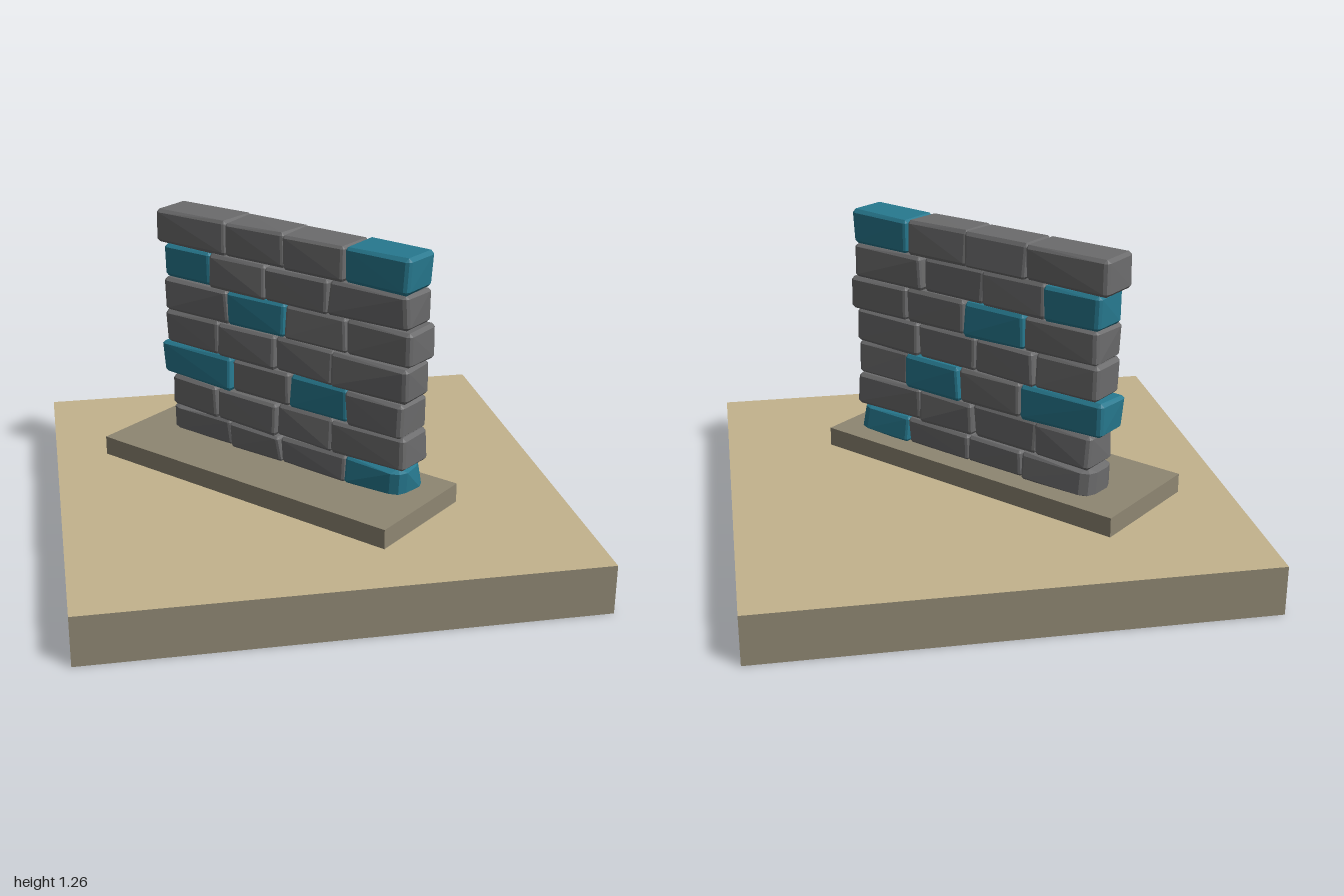
import * as THREE from 'three';
import { ConvexGeometry } from 'three/addons/geometries/ConvexGeometry.js';

const mat = (name, color) => new THREE.MeshStandardMaterial({ name, color });

// Small seeded generator for the uneven stone shapes
let seed = 7;
const jitter = (amount) => {
  seed = (seed * 16807) % 2147483647;
  return (seed / 2147483647 - 0.5) * 2 * amount;
};

// Roughly hewn block: a box with chamfered, slightly uneven corners.
// roundLow / roundHigh are the chamfer sizes at the -x and +x ends.
function hewnBlock(x0, x1, y0, y1, z0, z1, roundLow, roundHigh) {
  const points = [];
  const b = 0.013;
  for (const sx of [-1, 1]) for (const sy of [-1, 1]) for (const sz of [-1, 1]) {
    const r = sx < 0 ? roundLow : roundHigh;
    const x = (sx < 0 ? x0 : x1) + jitter(0.006);
    const y = sy < 0 ? y0 : y1;
    const z = (sz < 0 ? z0 : z1) + jitter(0.008);
    points.push(
      new THREE.Vector3(x, y - sy * b, z - sz * r),
      new THREE.Vector3(x - sx * r * 0.3, y - sy * b, z - sz * r * 0.3),
      new THREE.Vector3(x - sx * r, y - sy * b, z),
      new THREE.Vector3(x - sx * r * 0.7, y + jitter(0.003), z - sz * r * 0.7),
    );
  }
  return new ConvexGeometry(points);
}

// Each course, bottom to top: joint positions along the wall and the blue blocks
const courses = [
  { joints: [-0.63, -0.29, -0.02, 0.3, 0.57], blue: [3] },
  { joints: [-0.61, -0.35, -0.04, 0.235, 0.58], blue: [] },
  { joints: [-0.66, -0.275, 0.025, 0.305, 0.58], blue: [0, 2] },
  { joints: [-0.63, -0.34, -0.05, 0.24, 0.59], blue: [] },
  { joints: [-0.63, -0.29, 0, 0.3, 0.6], blue: [1] },
  { joints: [-0.64, -0.385, -0.09, 0.215, 0.58], blue: [0] },
  { joints: [-0.675, -0.3, -0.005, 0.285, 0.585], blue: [3] },
];
const levels = [0.285, 0.403, 0.543, 0.687, 0.832, 0.975, 1.118, 1.262];

export function createModel() {
  seed = 7;
  const sand = mat('sand', 0xc3b38d);
  const earth = mat('earth', 0x8e8672);
  const grey = mat('grey stone', 0x6b6b6c);
  const blue = mat('blue stone', 0x27798f);
  const model = new THREE.Group();

  // Ground slab with sandy top and bottom
  const ground = new THREE.Mesh(new THREE.BoxGeometry(2, 0.2, 2),
    [earth, earth, sand, sand, earth, earth]);
  ground.name = 'groundSlab';
  ground.position.y = 0.1;
  model.add(ground);

  // Turned group holding the plinth and the wall
  const turned = new THREE.Group();
  turned.name = 'wallOnPlinth';
  turned.rotation.y = -0.835;
  model.add(turned);

  const plinth = new THREE.Mesh(new THREE.BoxGeometry(1.444, 0.08, 0.51), earth);
  plinth.name = 'plinth';
  plinth.position.set(-0.055, 0.25, 0.105);
  turned.add(plinth);

  // Stone courses
  const wall = new THREE.Group();
  wall.name = 'stoneWall';
  turned.add(wall);
  courses.forEach(({ joints, blue: blueOnes }, row) => {
    const endRound = row === 0 ? 0.05 : 0.02;
    for (let i = 0; i < joints.length - 1; i++) {
      const shift = jitter(0.008);
      const block = new THREE.Mesh(
        hewnBlock(joints[i] + 0.001, joints[i + 1] - 0.001,
          levels[row] + 0.001, levels[row + 1] - 0.001,
          -0.06 + shift, 0.115 + shift,
          i === 0 ? endRound : 0.014, i === joints.length - 2 ? endRound : 0.014),
        blueOnes.includes(i) ? blue : grey);
      block.name = `stone${row + 1}_${i + 1}`;
      wall.add(block);
    }
  });
  return model;
}
